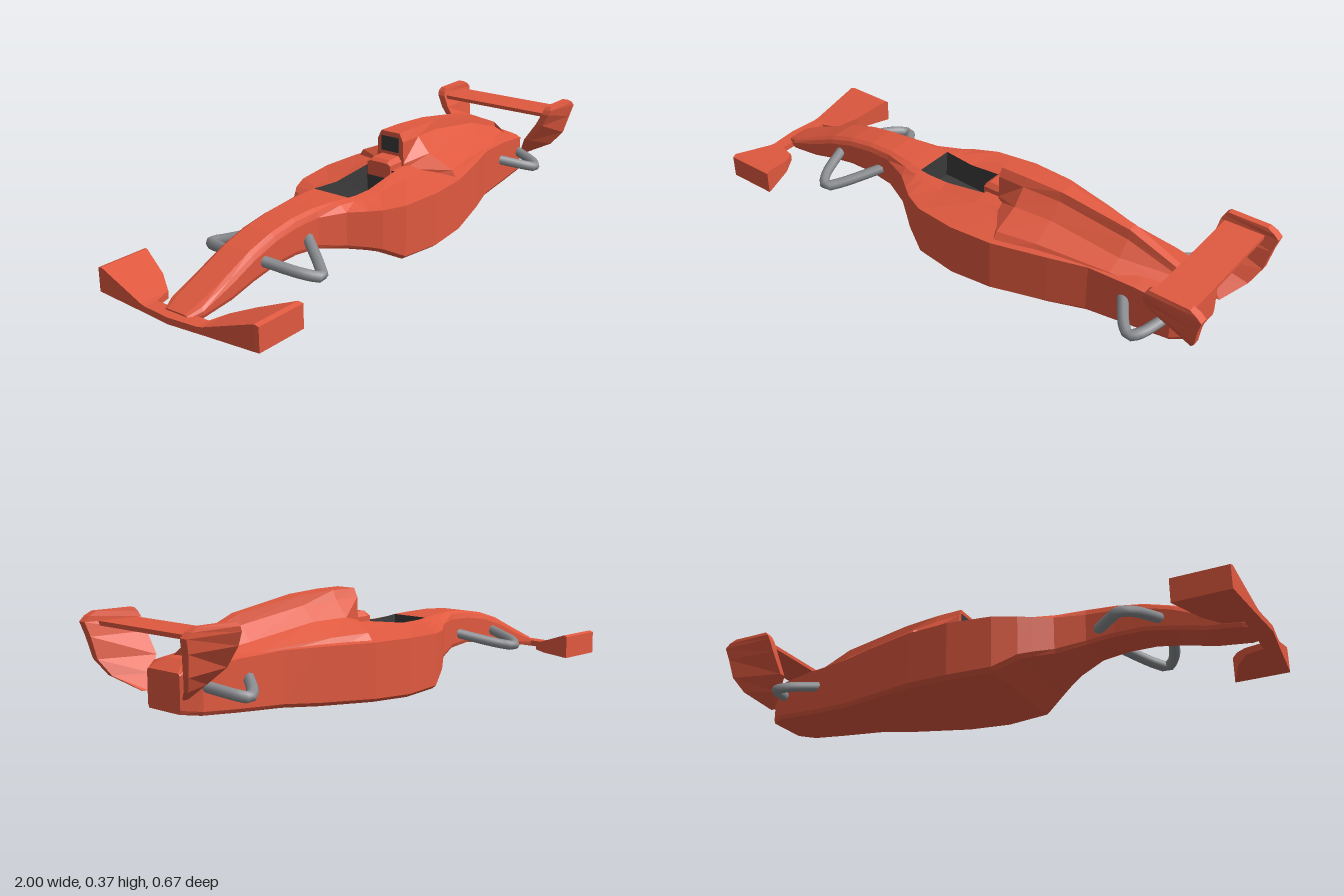
import * as THREE from 'three';

const red = new THREE.MeshStandardMaterial({ color: 0xe0593f, flatShading: true });
const dark = new THREE.MeshStandardMaterial({ color: 0x3a3a3a, flatShading: true, side: THREE.DoubleSide });
const grey = new THREE.MeshStandardMaterial({ color: 0x8a8c90 });

// Skin closed rings of [x, y, z] points, with end caps; skip(i, j) leaves a panel open
function loft(rings, skip = () => false) {
  const pos = [];
  const tri = (a, b, c) => pos.push(...a, ...b, ...c);
  const n = rings[0].length;
  for (let i = 0; i < rings.length - 1; i++) {
    for (let j = 0; j < n; j++) {
      if (skip(i, j)) continue;
      const k = (j + 1) % n;
      const a = rings[i][j], b = rings[i][k], c = rings[i + 1][k], d = rings[i + 1][j];
      tri(a, d, c);
      tri(a, c, b);
    }
  }
  const first = rings[0], last = rings[rings.length - 1];
  for (let j = 1; j < n - 1; j++) {
    tri(first[0], first[j], first[j + 1]);
    tri(last[0], last[j + 1], last[j]);
  }
  const g = new THREE.BufferGeometry();
  g.setAttribute('position', new THREE.Float32BufferAttribute(pos, 3));
  g.computeVertexNormals();
  return g;
}

// Symmetric section at x from half points [z, y], listed bottom to top
const section = (x, half) => [
  ...half.map(([z, y]) => [x, y, z]),
  ...[...half].reverse().map(([z, y]) => [x, y, -z]),
];

export function createModel() {
  const group = new THREE.Group();
  const add = (name, geometry, material = red) => {
    const mesh = new THREE.Mesh(geometry, material);
    mesh.name = name;
    group.add(mesh);
    return mesh;
  };

  // Body: x, bottom, top, half width, shoulder y, deck edge z, deck edge y, top half width
  const stations = [
    [-0.965, 0.052, 0.075, 0.05, 0.066, 0.045, 0.072, 0.035],
    [-0.92, 0.055, 0.095, 0.07, 0.08, 0.062, 0.09, 0.045],
    [-0.8, 0.07, 0.145, 0.072, 0.122, 0.065, 0.137, 0.05],
    [-0.7, 0.095, 0.19, 0.072, 0.165, 0.065, 0.18, 0.05],
    [-0.6, 0.113, 0.22, 0.072, 0.195, 0.065, 0.211, 0.05],
    [-0.5, 0.115, 0.237, 0.072, 0.21, 0.065, 0.228, 0.05],
    [-0.4, 0.105, 0.243, 0.077, 0.214, 0.07, 0.234, 0.055],
    [-0.3, 0.08, 0.24, 0.115, 0.21, 0.09, 0.231, 0.067],
    [-0.24, 0.065, 0.236, 0.16, 0.206, 0.1, 0.228, 0.075],
    [-0.2, 0.052, 0.232, 0.19, 0.205, 0.105, 0.225, 0.075],
    [-0.12, 0.008, 0.229, 0.228, 0.206, 0.11, 0.222, 0.07],
    [0.04, 0.004, 0.25, 0.247, 0.21, 0.115, 0.236, 0.062],
    [0.2, 0.01, 0.255, 0.236, 0.212, 0.11, 0.24, 0.06],
    [0.4, 0.02, 0.25, 0.184, 0.215, 0.1, 0.235, 0.05],
    [0.53, 0.03, 0.24, 0.145, 0.215, 0.09, 0.23, 0.04],
    [0.7, 0.04, 0.222, 0.13, 0.208, 0.085, 0.218, 0.035],
    [0.83, 0.05, 0.21, 0.12, 0.192, 0.08, 0.204, 0.035],
    [0.885, 0.056, 0.18, 0.08, 0.172, 0.078, 0.176, 0.074],
  ];
  const bodyRings = stations.map(([x, yb, yt, w, ys, mz, my, t]) =>
    section(x, [[w * 0.93, yb], [w, yb + 0.013], [w, ys], [mz, my], [t, yt]]));
  const inCockpit = (x) => x >= -0.241 && x < 0.03;
  add('body', loft(bodyRings, (i, j) => j === 4 && inCockpit(stations[i][0])));

  // Dark tub inside the cockpit opening
  const tubRings = stations.filter(([x]) => x > -0.25 && x < 0.05)
    .map(([x, , yt, , , , , t]) => section(x, [[t * 0.9, 0.14], [t, yt]]));
  add('cockpit', loft(tubRings, (i, j) => j === 1), dark);

  // Engine cover with the air intake at its front
  const cover = [
    [0.1, [[0.06, 0.2], [0.06, 0.24], [0.058, 0.26], [0.055, 0.34], [0.04, 0.37]]],
    [0.2, [[0.228, 0.2], [0.2, 0.24], [0.1, 0.283], [0.052, 0.338], [0.037, 0.37]]],
    [0.34, [[0.188, 0.2], [0.17, 0.236], [0.085, 0.28], [0.036, 0.33], [0.028, 0.364]]],
    [0.6, [[0.13, 0.2], [0.125, 0.217], [0.07, 0.242], [0.025, 0.29], [0.018, 0.325]]],
    [0.8, [[0.1, 0.18], [0.1, 0.196], [0.05, 0.212], [0.017, 0.225], [0.012, 0.245]]],
  ];
  add('engineCover', loft(cover.map(([x, half]) => section(x, half))));
  add('airIntake', new THREE.BoxGeometry(0.006, 0.055, 0.076), dark).position.set(0.1, 0.325, 0);

  // Headrest
  const headrest = [[0.05, 0.22], [0.05, 0.268], [0.036, 0.285]];
  add('headrest', loft([
    section(0.03, headrest.map(([z, y]) => [z, Math.min(y, 0.275)])),
    section(0.045, headrest),
    section(0.11, headrest),
  ]));

  // Front wing: z, leading x, trailing x; the top rises towards the tips
  const halfWing = [
    [0, -1, -0.94], [0.11, -0.99, -0.94], [0.13, -0.988, -0.875],
    [0.2, -0.982, -0.83], [0.32, -0.972, -0.785], [0.336, -0.97, -0.78],
  ];
  const wing = [...halfWing.slice(1).reverse().map(([z, a, b]) => [-z, a, b]), ...halfWing];
  add('frontWing', loft(wing.map(([z, a, b]) => {
    const r = Math.abs(z);
    const top = r > 0.33 ? 0.13 : 0.07 + Math.max(0, r - 0.12) * 0.325;
    return [[a, 0.048, z], [a, top, z], [b, top, z], [b, 0.048, z]];
  })));

  // Rear wing: a flat plane between two plates that twist inwards to the body
  add('rearWing', new THREE.BoxGeometry(0.14, 0.014, 0.48)).position.set(0.88, 0.308, 0);
  // y, front x, rear x, front inner z, rear outer z, thickness
  const plate = [
    [0.105, 0.872, 0.89, 0.095, 0.105, 0.008],
    [0.15, 0.835, 0.945, 0.125, 0.198, 0.02],
    [0.2, 0.79, 0.972, 0.16, 0.237, 0.025],
    [0.27, 0.79, 0.985, 0.208, 0.255, 0.03],
    [0.315, 0.795, 0.998, 0.23, 0.265, 0.03],
    [0.332, 0.803, 0.98, 0.234, 0.265, 0.03],
    [0.345, 0.815, 0.955, 0.236, 0.262, 0.024],
  ];
  for (const s of [1, -1]) {
    const rings = plate.map(([y, a, b, zi, zo, t]) => {
      const ring = [[b, y, s * zo], [a, y, s * (zi + t)], [a, y, s * zi], [b, y, s * (zo - t)]];
      return s > 0 ? ring : ring.reverse();
    });
    add(s > 0 ? 'leftWingPlate' : 'rightWingPlate', loft(rings));
  }

  // Suspension arms: bent tubes with the tip outboard
  const arms = {
    frontSuspension: [[-0.66, 0.15, 0.05], [-0.61, 0.122, 0.2], [-0.575, 0.112, 0.234], [-0.54, 0.118, 0.2], [-0.43, 0.16, 0.05]],
    rearSuspension: [[0.64, 0.15, 0.1], [0.72, 0.12, 0.215], [0.75, 0.112, 0.234], [0.775, 0.118, 0.215], [0.82, 0.14, 0.1]],
  };
  for (const [name, pts] of Object.entries(arms)) {
    for (const s of [1, -1]) {
      const curve = new THREE.CatmullRomCurve3(pts.map(([x, y, z]) => new THREE.Vector3(x, y, s * z)));
      add(name, new THREE.TubeGeometry(curve, 20, 0.019, 8), grey);
    }
  }
  return group;
}
